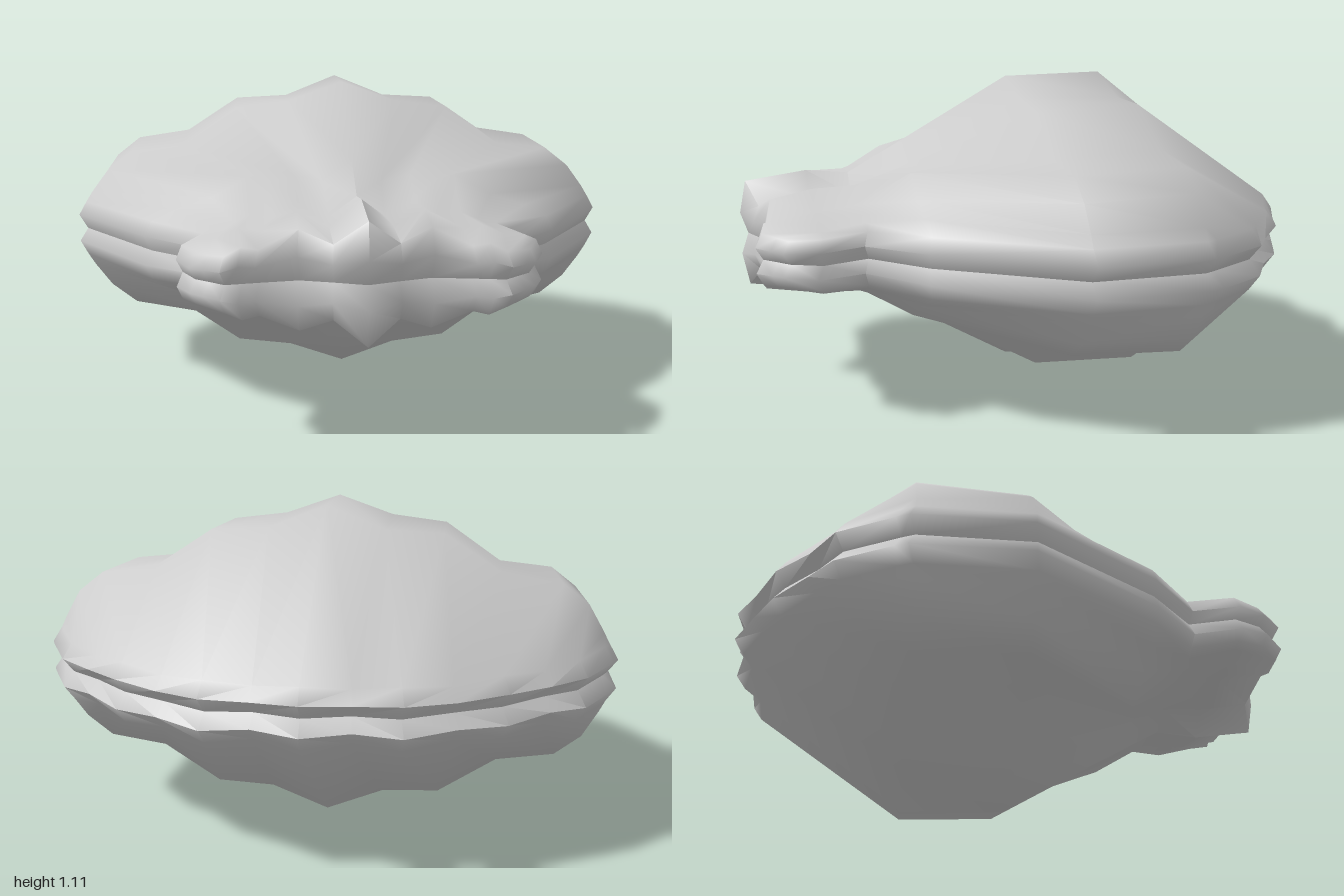
import * as THREE from 'three';
import { toCreasedNormals } from 'three/addons/utils/BufferGeometryUtils.js';

const MID = 0.555; // height of the seam between the valves
const CZ = 0.2; // centre from which the lip spreads

// Ribs and valleys of one half, from the crest out to the side edge.
// Back edge: [x, z, height above the seam] for each rib
const BACK_EDGE = [
  [0, -0.965, 0.1], [0.15, -0.925, 0.085], [0.3, -0.935, 0.1], [0.45, -0.855, 0.085],
  [0.6, -0.78, 0.1], [0.73, -0.665, 0.085], [0.845, -0.585, 0.1], [0.945, -0.41, 0.1],
];
// Front edge at the hinge
const FRONT_EDGE = [
  [0, 0.965, 0.19], [0.1, 0.925, 0.115], [0.2, 0.89, 0.155], [0.32, 0.91, 0.1],
  [0.37, 0.92, 0.11], [0.42, 0.93, 0.085], [0.47, 0.885, 0.08], [0.51, 0.85, 0.075],
];
// Cross-sections between them: x and height of each rib
const SECTIONS = [
  { z: -0.37, x: [0, 0.2, 0.4, 0.6, 0.8, 0.89, 0.945, 0.965], h: [0.555, 0.475, 0.465, 0.335, 0.305, 0.235, 0.14, 0.1] },
  { z: 0, x: [0, 0.2, 0.4, 0.6, 0.79, 0.88, 0.94, 0.965], h: [0.545, 0.475, 0.45, 0.31, 0.29, 0.22, 0.14, 0.1] },
  { z: 0.43, x: [0, 0.1, 0.2, 0.28, 0.35, 0.48, 0.6, 0.68], h: [0.3, 0.23, 0.25, 0.23, 0.25, 0.18, 0.14, 0.1] },
  { z: 0.6, x: [0, 0.09, 0.19, 0.27, 0.34, 0.4, 0.46, 0.5], h: [0.205, 0.14, 0.19, 0.14, 0.15, 0.125, 0.11, 0.09] },
  { z: 0.75, x: [0, 0.1, 0.2, 0.32, 0.38, 0.45, 0.52, 0.555], h: [0.22, 0.135, 0.185, 0.125, 0.135, 0.105, 0.1, 0.085] },
];

// Full rows from -x to +x, back to front
function valveRows() {
  const halves = [
    BACK_EDGE,
    ...SECTIONS.map(({ z, x, h }) => x.map((v, i) => [v, z, h[i]])),
    FRONT_EDGE,
  ];
  return halves.map((half) => [
    ...half.slice(1).reverse().map(([x, z, h]) => [-x, z, h]),
    ...half,
  ]);
}

// One valve: ribbed surface, then a lip out to the rim and back in to the seam
function valveGeometry(side) {
  const rows = valveRows();
  const cols = rows[0].length;
  const last = rows.length - 1;
  const positions = [];
  const index = [];
  const add = (x, z, h) => positions.push(x, MID + side * h, z) / 3 - 1;
  const tri = (a, b, c) => (side > 0 ? index.push(a, b, c) : index.push(a, c, b));
  const quad = (a, b, c, d) => {
    tri(a, b, c);
    tri(a, c, d);
  };

  const grid = rows.map((row) => row.map(([x, z, h]) => add(x, z, h)));
  for (let r = 0; r < last; r++) {
    for (let c = 0; c < cols - 1; c++) {
      // Diagonals mirror across the crest
      const [a, b, d, e] = [grid[r][c], grid[r + 1][c], grid[r + 1][c + 1], grid[r][c + 1]];
      if (c < (cols - 1) / 2) quad(a, b, d, e);
      else quad(b, d, e, a);
    }
  }

  // Walk round the border of the grid
  const border = [];
  for (let c = 0; c < cols - 1; c++) border.push([0, c]);
  for (let r = 0; r < last; r++) border.push([r, cols - 1]);
  for (let c = cols - 1; c > 0; c--) border.push([last, c]);
  for (let r = last; r > 0; r--) border.push([r, 0]);
  const loops = [border.map(([r, c]) => grid[r][c])];
  for (const [spread, lift] of [[1.03, 0.5], [0.997, 0]]) {
    loops.push(border.map(([r, c]) => {
      const [x, z, h] = rows[r][c];
      return add(x * spread, CZ + (z - CZ) * spread, Math.min(h * lift, 0.075));
    }));
  }
  for (let k = 0; k < 2; k++) {
    border.forEach((_, i) => {
      const j = (i + 1) % border.length;
      quad(loops[k][i], loops[k][j], loops[k + 1][j], loops[k + 1][i]);
    });
  }

  const geometry = new THREE.BufferGeometry();
  geometry.setAttribute('position', new THREE.Float32BufferAttribute(positions, 3));
  geometry.setIndex(index);
  return toCreasedNormals(geometry, 1.25);
}

export function createModel() {
  const group = new THREE.Group();
  group.name = 'clamShell';
  const material = new THREE.MeshStandardMaterial({ color: 0xcccccc, side: THREE.DoubleSide });
  for (const [name, side] of [['upperValve', 1], ['lowerValve', -1]]) {
    const valve = new THREE.Mesh(valveGeometry(side), material);
    valve.name = name;
    group.add(valve);
  }
  return group;
}
